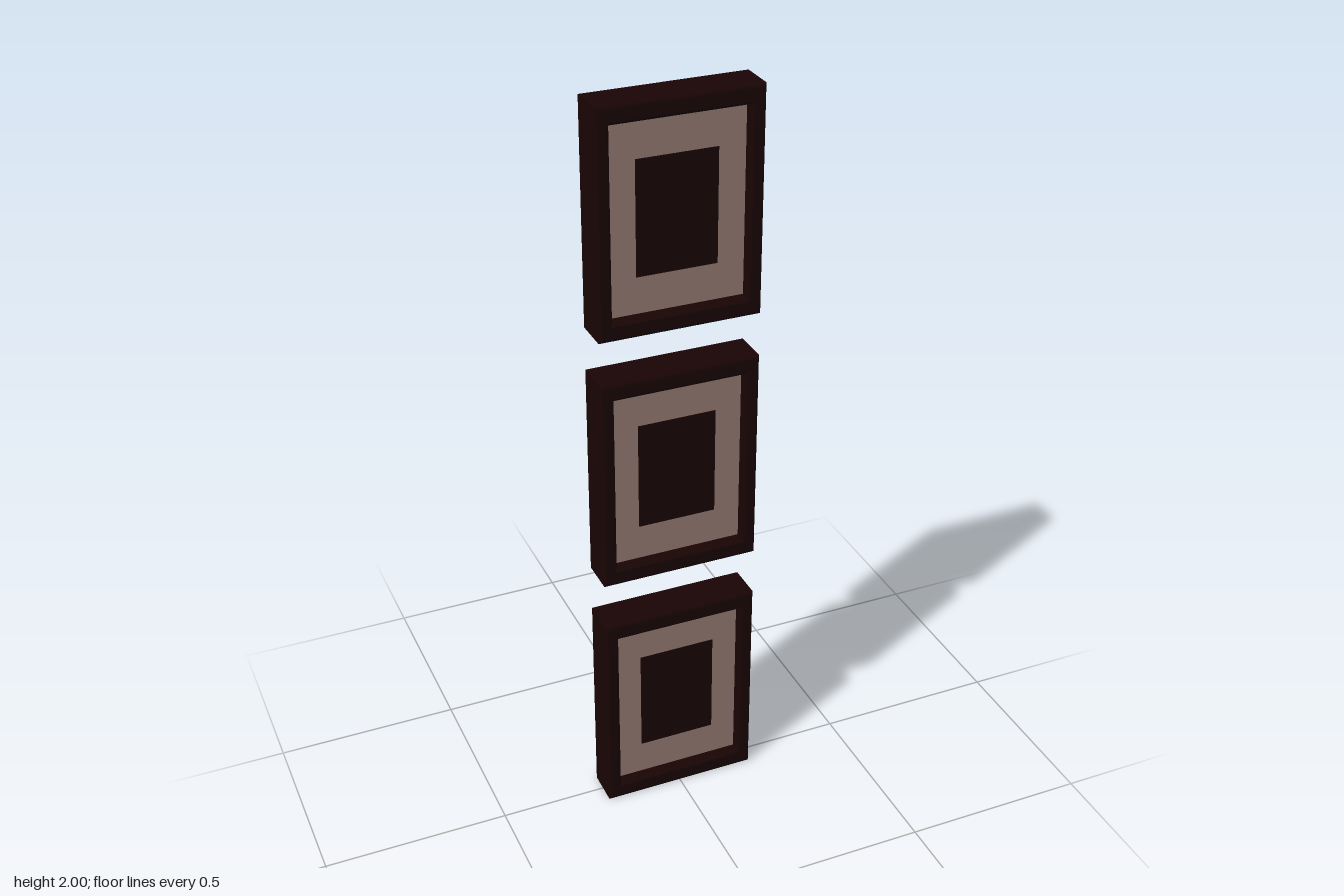
import * as THREE from 'three';

const WIDTH = 0.424, HEIGHT = 0.585, DEPTH = 0.108, EDGE = 0.006;
const RAIL_X = 0.037, RAIL_Y = 0.049; // rail widths: sides, top and bottom
const BACK_Z = 0.004, MAT_Z = 0.026; // recessed faces behind and in front

// rail cross-section: share of the rail width from the outer edge, and z
const PROFILE = [
  [0, -DEPTH / 2 + EDGE], [0, DEPTH / 2 - EDGE], [0.05, DEPTH / 2 - EDGE / 3], [0.16, DEPTH / 2],
  [0.8, DEPTH / 2], [0.95, DEPTH / 2 - EDGE], [1, MAT_Z],
  [1, BACK_Z], [0.28, BACK_Z], [0.28, -DEPTH / 2], [0.16, -DEPTH / 2], [0.05, -DEPTH / 2 + EDGE / 3],
];

// sweep the cross-section round the rectangle with mitred corners
function createRails() {
  const positions = [], index = [];
  const corners = [[1, -1], [1, 1], [-1, 1], [-1, -1]];
  const n = PROFILE.length;
  corners.forEach(([sx, sy], c) => {
    PROFILE.forEach(([t, z], p) => {
      positions.push(sx * (WIDTH / 2 - t * RAIL_X), sy * (HEIGHT / 2 - t * RAIL_Y), z);
      const q = (p + 1) % n, here = c * n, next = ((c + 1) % 4) * n;
      index.push(here + p, next + p, next + q, here + p, next + q, here + q);
    });
  });
  const geometry = new THREE.BufferGeometry();
  geometry.setAttribute('position', new THREE.Float32BufferAttribute(positions, 3));
  geometry.setIndex(index);
  const flat = geometry.toNonIndexed();
  flat.computeVertexNormals();
  return flat;
}

export function createModel() {
  const wood = new THREE.MeshStandardMaterial({ name: 'dark wood', color: 0x1a0404 });
  const matBoard = new THREE.MeshStandardMaterial({ name: 'mat board', color: 0x987c75 });

  const innerW = WIDTH - 2 * RAIL_X, innerH = HEIGHT - 2 * RAIL_Y;
  const boardDepth = MAT_Z - BACK_Z - 0.008;

  const railGeometry = createRails();
  const backGeometry = new THREE.BoxGeometry(innerW, innerH, boardDepth);
  const matGeometry = new THREE.BoxGeometry(innerW, innerH, 0.008);
  const panelGeometry = new THREE.BoxGeometry(0.21, 0.295, 0.004);

  const model = new THREE.Group();
  model.name = 'pictureFrames';
  const frames = { bottomFrame: 0.2925, middleFrame: 1.007, topFrame: 1.7075 };
  for (const [name, y] of Object.entries(frames)) {
    const frame = new THREE.Group();
    frame.name = name;
    frame.position.y = y;
    const add = (part, geometry, material, z) => {
      const mesh = new THREE.Mesh(geometry, material);
      mesh.name = part;
      mesh.position.z = z;
      frame.add(mesh);
    };
    add('rails', railGeometry, wood, 0);
    add('backBoard', backGeometry, wood, BACK_Z + boardDepth / 2);
    add('mat', matGeometry, matBoard, MAT_Z - 0.004);
    add('centrePanel', panelGeometry, wood, MAT_Z);
    model.add(frame);
  }
  return model;
}
